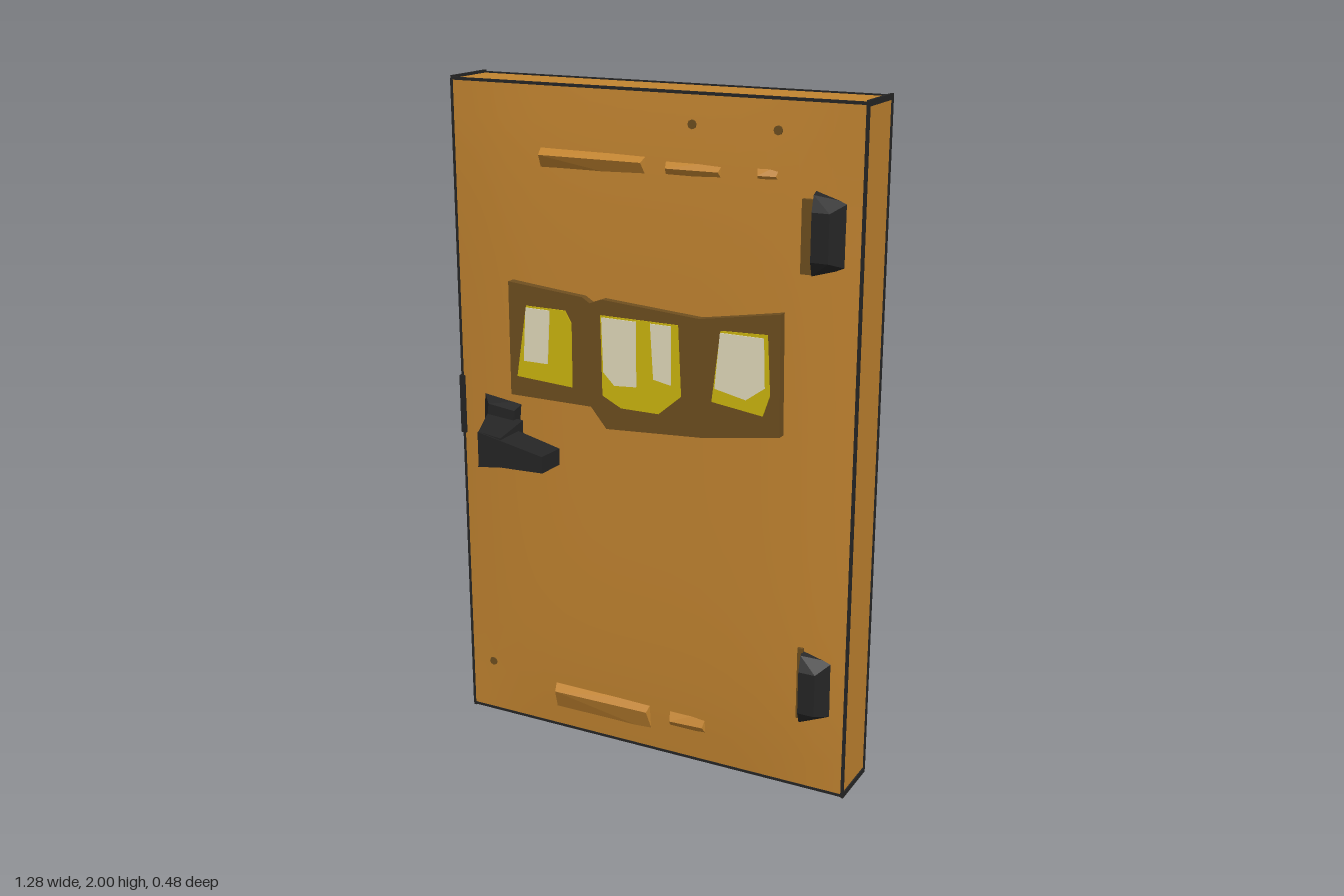
import * as THREE from 'three';
import { ConvexGeometry } from 'three/addons/geometries/ConvexGeometry.js';

const mat = (name, color) => {
  const m = new THREE.MeshStandardMaterial({ color });
  m.name = name;
  return m;
};

export function createModel() {
  const wood = mat('orange wood', 0xc28430);
  const frameBrown = mat('dark brown', 0x6e4e1f);
  const yellow = mat('yellow glass', 0xcdb60e);
  const cream = mat('cream highlight', 0xe2dabb);
  const iron = mat('black iron', 0x252525);

  const door = new THREE.Group();
  door.name = 'door';
  const add = (name, geo, material, x = 0, y = 0, z = 0, parent = door) => {
    const mesh = new THREE.Mesh(geo, material);
    mesh.name = name;
    mesh.position.set(x, y, z);
    parent.add(mesh);
    return mesh;
  };
  const hull = (name, pts, material, parent) =>
    add(name, new ConvexGeometry(pts.map(p => new THREE.Vector3(...p))), material, 0, 0, 0, parent);
  const box = (name, x0, x1, y0, y1, z0, z1, material) =>
    add(name, new THREE.BoxGeometry(x1 - x0, y1 - y0, z1 - z0), material,
      (x0 + x1) / 2, (y0 + y1) / 2, (z0 + z1) / 2);
  // flat outline in x, y given thickness from z0 to z1
  const plate = (name, pts, z0, z1, material, parent) => {
    const shape = new THREE.Shape(pts.map(p => new THREE.Vector2(...p)));
    const lo = Math.min(z0, z1);
    add(name, new THREE.ExtrudeGeometry(shape, { depth: Math.abs(z1 - z0), bevelEnabled: false }),
      material, 0, 0, lo, parent);
  };

  // the two broad faces swell slightly towards their middle
  const W = 0.632, Y0 = 0.012, Y1 = 1.992, YM = (Y0 + Y1) / 2, H = Y1 - Y0;
  const faceZ = (x, y, s) => {
    const b = (1 - (x / W) ** 4) * (1 - ((y - YM) / (H / 2)) ** 4);
    return s > 0 ? 0.075 + 0.025 * b : -0.1 - 0.015 * b;
  };
  const slab = new THREE.BoxGeometry(W * 2, H, 2, 14, 20, 1);
  slab.translate(0, YM, 0);
  const p = slab.attributes.position;
  for (let i = 0; i < p.count; i++) p.setZ(i, faceZ(p.getX(i), p.getY(i), Math.sign(p.getZ(i))));
  slab.computeVertexNormals();
  add('slab', slab, wood);

  // thin dark seams along the edges
  const r = 0.004;
  for (const z of [0.073, -0.098]) {
    for (const x of [-W, W]) box('sideSeam', x - r, x + r, Y0, Y1, z - r, z + r, iron);
    for (const y of [Y0, Y1]) box('endSeam', -W, W, y - r, y + r, z - r, z + r, iron);
  }
  for (const x of [-W, W]) for (const y of [Y0, Y1])
    box('cornerSeam', x - r, x + r, y - 0.008, y + 0.008, -0.1, 0.075, iron);
  box('latch', -0.64, -0.622, 0.93, 1.11, 0.04, 0.082, iron);

  // window: brown surround, yellow panes and cream highlights on both faces
  const windows = {
    front: {
      s: 1,
      frame: [[-0.43, 1.09], [-0.16, 1.09], [-0.11, 1.03], [0.2, 1.05], [0.43, 1.085],
        [0.425, 1.43], [0.185, 1.39], [-0.12, 1.41], [-0.16, 1.395], [-0.185, 1.41], [-0.43, 1.43]],
      panes: [
        [[-0.405, 1.15], [-0.22, 1.14], [-0.22, 1.33], [-0.24, 1.365], [-0.37, 1.365]],
        [[-0.12, 1.13], [-0.06, 1.1], [0.06, 1.1], [0.13, 1.16], [0.12, 1.365], [-0.125, 1.365]],
        [[0.225, 1.16], [0.38, 1.14], [0.4, 1.2], [0.39, 1.37], [0.25, 1.365]]],
      lights: [
        [[-0.38, 1.2], [-0.3, 1.2], [-0.29, 1.36], [-0.37, 1.36]],
        [[-0.115, 1.2], [-0.08, 1.165], [-0.01, 1.17], [-0.01, 1.36], [-0.12, 1.36]],
        [[0.045, 1.2], [0.1, 1.19], [0.1, 1.36], [0.035, 1.36]],
        [[0.235, 1.2], [0.33, 1.18], [0.385, 1.22], [0.38, 1.36], [0.25, 1.36]]],
    },
    back: {
      s: -1,
      frame: [[-0.42, 1.06], [-0.17, 1.09], [-0.1, 1.05], [0.14, 1.05], [0.2, 1.08], [0.43, 1.07],
        [0.44, 1.39], [0.2, 1.36], [0.13, 1.4], [-0.1, 1.4], [-0.17, 1.36], [-0.42, 1.36]],
      panes: [
        [[-0.385, 1.1], [-0.25, 1.1], [-0.21, 1.15], [-0.21, 1.34], [-0.38, 1.345]],
        [[-0.11, 1.13], [-0.07, 1.1], [0.07, 1.1], [0.145, 1.14], [0.145, 1.355], [-0.1, 1.355]],
        [[0.235, 1.12], [0.34, 1.1], [0.4, 1.15], [0.39, 1.36], [0.235, 1.35]]],
      lights: [
        [[-0.34, 1.16], [-0.25, 1.17], [-0.24, 1.34], [-0.35, 1.34]],
        [[-0.105, 1.19], [-0.06, 1.16], [0.0, 1.19], [0.005, 1.35], [-0.1, 1.35]],
        [[0.045, 1.22], [0.13, 1.21], [0.14, 1.35], [0.045, 1.35]],
        [[0.235, 1.19], [0.33, 1.2], [0.345, 1.35], [0.235, 1.345]]],
    },
  };
  for (const [side, w] of Object.entries(windows)) {
    const g = new THREE.Group();
    g.name = side + 'Window';
    door.add(g);
    const z = w.s * 0.122;
    plate('windowFrame', w.frame, w.s * 0.07, z, frameBrown, g);
    w.panes.forEach(q => plate('pane', q, z - w.s * 0.001, z + w.s * 0.003, yellow, g));
    w.lights.forEach(q => plate('paneHighlight', q, z - w.s * 0.001, z + w.s * 0.006, cream, g));
  }

  // lever handles, mirrored front and back
  for (const s of [1, -1]) {
    const g = new THREE.Group();
    g.name = s > 0 ? 'frontHandle' : 'backHandle';
    door.add(g);
    hull('handlePlate', [
      [-0.55, 0.85, s * 0.08], [-0.43, 0.86, s * 0.08], [-0.41, 1.06, s * 0.08], [-0.55, 1.07, s * 0.08],
      [-0.53, 0.88, s * 0.125], [-0.44, 0.88, s * 0.125], [-0.42, 1.04, s * 0.125], [-0.51, 1.05, s * 0.125],
    ], iron, g);
    hull('handleNeck', [
      [-0.53, 0.89, s * 0.11], [-0.4, 0.89, s * 0.11], [-0.4, 1.01, s * 0.11], [-0.52, 1.02, s * 0.11],
      [-0.48, 0.89, s * 0.235], [-0.4, 0.9, s * 0.235], [-0.4, 0.99, s * 0.235], [-0.475, 1.0, s * 0.235],
    ], iron, g);
    hull('handleLever', [
      [-0.48, 0.89, s * 0.13], [-0.48, 1.0, s * 0.13], [-0.475, 0.9, s * 0.24], [-0.475, 1.0, s * 0.24],
      [-0.255, 0.905, s * 0.145], [-0.255, 0.955, s * 0.145], [-0.26, 0.905, s * 0.235], [-0.26, 0.955, s * 0.235],
    ], iron, g);
  }

  // hinges: bevelled blocks [x0, x1, y0, y1, height, side]
  const hinges = [
    [0.5, 0.59, 1.53, 1.765, 0.134, 1], [0.5, 0.59, 0.225, 0.455, 0.134, 1],
    [0.46, 0.57, 1.53, 1.87, 0.145, -1], [0.46, 0.565, 0.16, 0.38, 0.132, -1],
  ];
  for (const [x0, x1, y0, y1, h, s] of hinges) {
    const b = s * 0.07, t = s * h, my = (y1 - y0) * 0.22;
    hull('hinge', [
      [x0, y0 + 0.01, b], [x1, y0 + 0.03, b], [x1, y1 - 0.03, b], [x0, y1, b],
      [x0 + 0.005, y0 + 0.01, s * 0.11], [x0 + 0.005, y1 - 0.01, s * 0.11],
      [x0 + 0.01, y0 + my, t], [x1 - 0.03, y0 + my, t], [x1 - 0.03, y1 - my, t], [x0 + 0.01, y1 - my, t],
    ], iron);
  }
  box('upperHingeLeaf', 0.468, 0.506, 1.54, 1.74, 0.08, 0.099, frameBrown);
  box('lowerHingeLeaf', 0.49, 0.506, 0.24, 0.46, 0.08, 0.097, frameBrown);

  // small raised wedges near the top and bottom of the front
  const wedge = (x0, x1, y0, y1, peak, h) => hull('raisedWedge', [
    [x0, y0, 0.075], [x1, y0, 0.075], [x1, y1, 0.075], [x0, y1, 0.075],
    [x0 + 0.01, peak, h], [x1 - 0.01, peak, h - 0.006]], wood);
  wedge(-0.335, 0.005, 1.74, 1.825, 1.8, 0.113);
  wedge(0.06, 0.235, 1.755, 1.82, 1.79, 0.106);
  wedge(0.33, 0.4, 1.77, 1.825, 1.79, 0.1);
  wedge(-0.32, 0.015, 0.065, 0.17, 0.14, 0.108);
  wedge(0.075, 0.2, 0.1, 0.175, 0.13, 0.102);

  // rivets
  const rivet = new THREE.CylinderGeometry(0.013, 0.013, 0.008, 8).rotateX(Math.PI / 2);
  const spots = [[0.55, 1.93, -1], [0.42, 1.9, -1], [0.26, 1.89, -1], [0.01, 1.89, -1], [-0.22, 1.88, -1],
    [0.4, 0.1, -1], [-0.55, 0.12, -1], [0.39, 1.91, 1], [0.14, 1.91, 1], [-0.55, 0.18, 1]];
  for (const [x, y, s] of spots) add('rivet', rivet, frameBrown, x, y, faceZ(x, y, s));

  return door;
}
